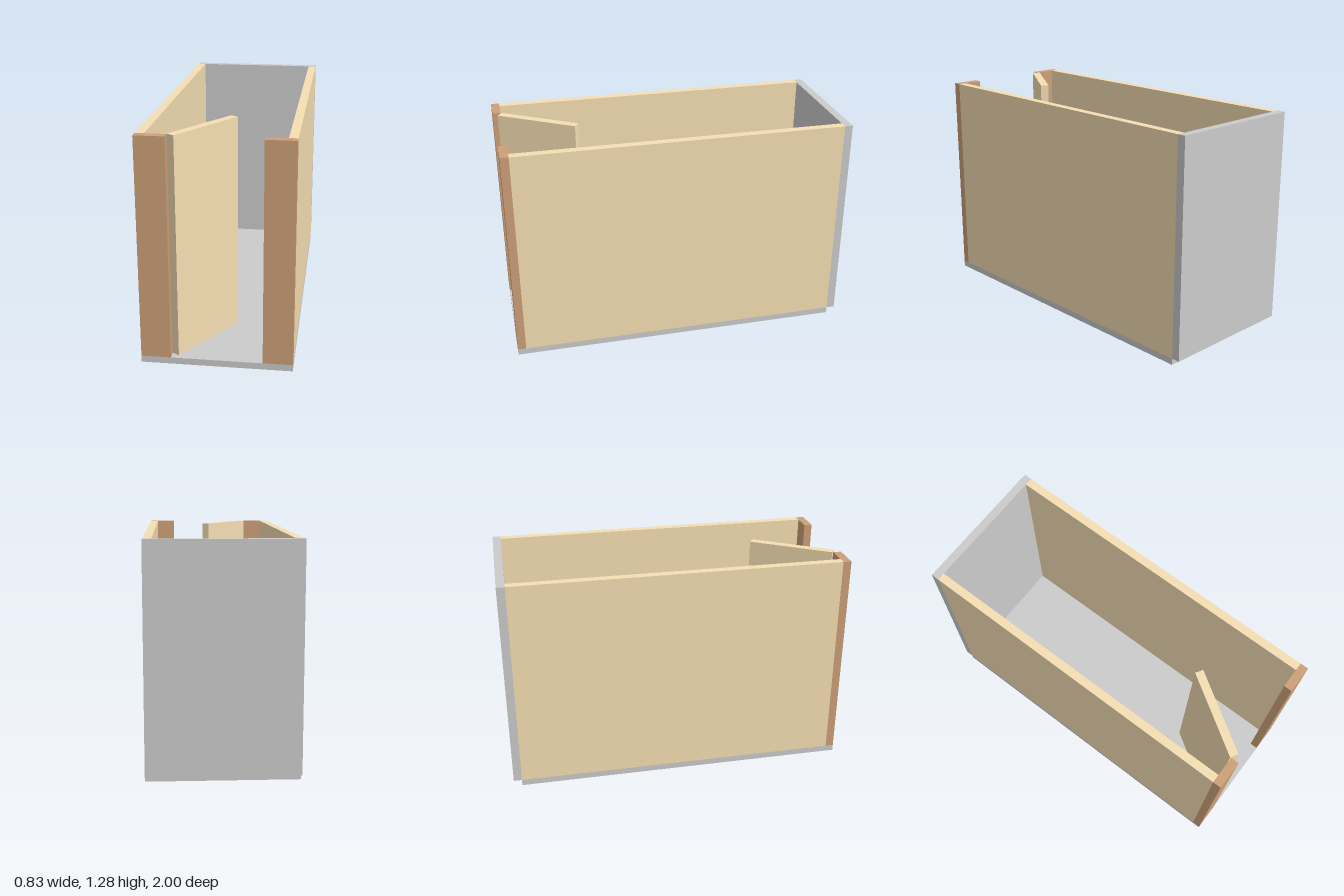
import * as THREE from 'three';

const WIDTH = 0.826, HEIGHT = 1.277, FLOOR = 0.037, T = 0.048;

export function createModel() {
  const model = new THREE.Group();
  const grey = new THREE.MeshStandardMaterial({ color: 0xcccccc });
  const paleWood = new THREE.MeshStandardMaterial({ color: 0xf5deb3 });
  const darkWood = new THREE.MeshStandardMaterial({ color: 0xcca078 });
  const wallHeight = HEIGHT - FLOOR;

  // A box standing on y = bottom, centred on x and z
  function panel(name, material, w, h, d, x, bottom, z) {
    const mesh = new THREE.Mesh(new THREE.BoxGeometry(w, h, d), material);
    mesh.name = name;
    mesh.position.set(x, bottom + h / 2, z);
    model.add(mesh);
    return mesh;
  }

  // Floor slab stops at the inner face of the back wall
  panel('floor', grey, WIDTH, FLOOR, 2 - T, 0, 0, T / 2);
  panel('backWall', grey, WIDTH, wallHeight, T, 0, FLOOR, -1 + T / 2);

  // Side walls and the front pieces flanking the doorway
  const frontWidth = WIDTH / 2 - 0.25;
  for (const [side, s] of [['left', 1], ['right', -1]]) {
    panel(side + 'Wall', paleWood, T, wallHeight, 2 - 2 * T, s * (WIDTH - T) / 2, FLOOR, 0);
    panel(side + 'FrontWall', darkWood, frontWidth, wallHeight, T,
      s * (0.25 + frontWidth / 2), FLOOR, 1 - T / 2);
  }

  // Door swung inwards
  const door = panel('door', paleWood, 0.5, wallHeight, T, -0.096, FLOOR, 0.749);
  door.rotation.y = 1;

  return model;
}
